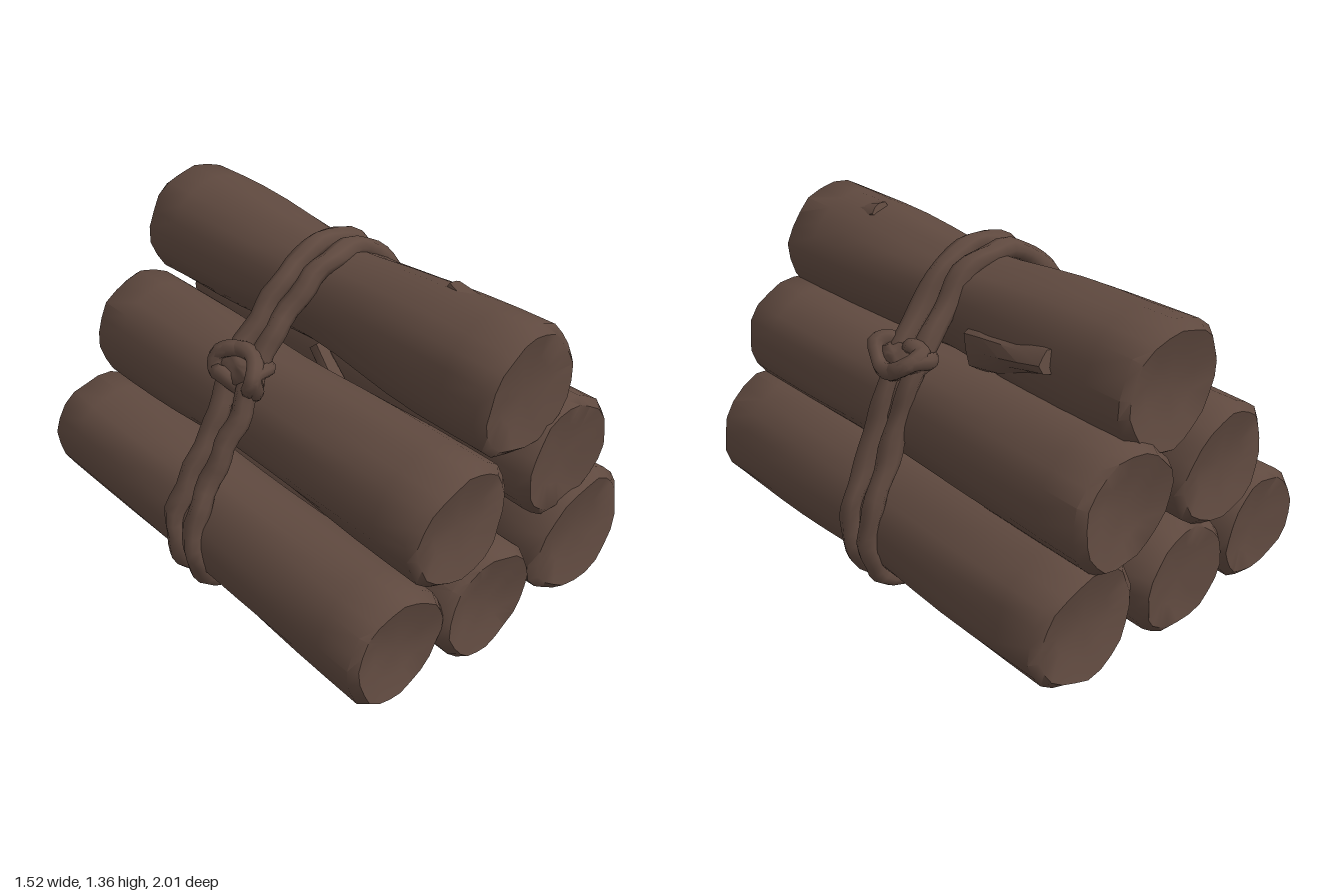
import * as THREE from 'three';
import { mergeVertices, toCreasedNormals } from 'three/addons/utils/BufferGeometryUtils.js';

const V = (x, y, z) => new THREE.Vector3(x, y, z);

// Weld a geometry, move its vertices by a rule, and shade it smoothly with creases
function reshape(geometry, rule, crease = 0.9) {
  geometry.deleteAttribute('uv');
  geometry.deleteAttribute('normal');
  const g = mergeVertices(geometry, 1e-4);
  const p = g.attributes.position;
  const v = V(0, 0, 0);
  for (let i = 0; i < p.count; i++) {
    v.fromBufferAttribute(p, i);
    rule(v);
    p.setXYZ(i, v.x, v.y, v.z);
  }
  return toCreasedNormals(g, crease);
}

// Uneven log lying along z, with chamfered rims, dished ends and a pinch under the rope
function logGeometry({ x, y, r, front, back, seed, pinch = 0.03, flare = 0 }) {
  const profile = [[0, -0.972], [0.5, -0.978], [0.88, -1], [1, -0.965]];
  for (let i = 1; i < 12; i++) profile.push([1, -0.965 + (1.93 * i) / 12]);
  profile.push([1, 0.965], [0.88, 1], [0.5, 0.978], [0, 0.972]);
  const lathe = new THREE.LatheGeometry(profile.map(([a, b]) => new THREE.Vector2(a, b)), 22);
  lathe.rotateX(Math.PI / 2);
  return reshape(lathe, (v) => {
    const a = Math.atan2(v.y, v.x);
    const t = v.z;
    const d = Math.hypot(v.x, v.y);
    const bark = 0.014 * Math.sin(3 * a + seed + 1.6 * t)
      + 0.012 * Math.sin(5 * a - seed * 2 + 2.5 * t)
      + 0.018 * Math.sin(8 * a + seed * 3 + 1.2 * Math.sin(4 * t + seed));
    const radius = r * (1 + bark) - pinch * Math.exp(-t * t * 6) + flare * t;
    const dent = Math.abs(t) > 0.968 ? 0.012 * d * Math.sin(2 * a + seed * 5 + t) : 0;
    v.x = x + Math.cos(a) * d * radius;
    v.y = y + Math.sin(a) * d * radius;
    v.z = (front + back) / 2 + (t * (front - back)) / 2 + dent;
  });
}

// Lumpy strand following a curve
function strandGeometry(points, radius, closed = false, segments = 24) {
  const curve = new THREE.CatmullRomCurve3(points, closed);
  return reshape(new THREE.TubeGeometry(curve, segments, radius, 8, closed), (v) => {
    const { x, y, z } = v;
    v.x += 0.005 * Math.sin(31 * y + 23 * z);
    v.y += 0.005 * Math.sin(29 * x - 27 * z);
    v.z += 0.006 * Math.sin(25 * (x + y));
  }, 1.6);
}

// Tapered, bent broken twig made from a cone frustum
function stubGeometry(from, to, r0, r1) {
  const axis = to.clone().sub(from);
  const g = new THREE.CylinderGeometry(r1, r0, axis.length(), 9, 4);
  const q = new THREE.Quaternion().setFromUnitVectors(V(0, 1, 0), axis.clone().normalize());
  const mid = from.clone().add(to).multiplyScalar(0.5);
  return reshape(g, (v) => {
    const k = 1 + 0.14 * Math.sin(3 * Math.atan2(v.z, v.x) + 9 * v.y);
    v.x *= k;
    v.z *= k;
    v.applyQuaternion(q).add(mid);
  }, 0.8);
}

export function createModel() {
  const model = new THREE.Group();
  model.name = 'logBundle';
  const bark = new THREE.MeshStandardMaterial({ color: 0x5f493f });
  bark.name = 'barkBrown';
  const add = (name, geometry, parent = model) => {
    const mesh = new THREE.Mesh(geometry, bark);
    mesh.name = name;
    parent.add(mesh);
    return mesh;
  };

  // Six stacked logs
  const logs = [
    ['bottomRightLog', { x: -0.485, y: 0.29, r: 0.23, front: 0.97, back: -0.98, seed: 1, pinch: 0.005 }],
    ['bottomMiddleLog', { x: -0.05, y: 0.25, r: 0.238, front: 0.99, back: -0.97, seed: 2.3, pinch: 0.015 }],
    ['bottomLeftLog', { x: 0.465, y: 0.31, r: 0.262, front: 0.99, back: -0.97, seed: 3.1, flare: 0.009, pinch: 0.02 }],
    ['middleRightLog', { x: -0.21, y: 0.685, r: 0.245, front: 0.97, back: -0.99, seed: 4.4, pinch: 0.02 }],
    ['middleLeftLog', { x: 0.32, y: 0.735, r: 0.242, front: 0.98, back: -1, seed: 5.2, pinch: 0.015 }],
    ['topLog', { x: 0.09, y: 1.1, r: 0.248, front: 0.96, back: -0.97, seed: 6.7, pinch: 0.045 }],
  ];
  for (const [name, spec] of logs) add(name, logGeometry(spec));

  // Broken branches and loose bark
  add('sideBranch', stubGeometry(V(0.25, 1.04, -0.2), V(0.325, 1.15, -0.62), 0.09, 0.045));
  add('topBranch', stubGeometry(V(0.11, 1.23, 0.76), V(0.13, 1.325, 0.54), 0.09, 0.04));
  add('innerBranch', stubGeometry(V(0.05, 0.62, 0.1), V(0.06, 0.84, -0.1), 0.045, 0.035));
  add('lowerInnerBranch', stubGeometry(V(0.24, 0.3, 0.1), V(0.23, 0.53, 0.0), 0.05, 0.04));

  // One rope wound twice round the stack, crossing itself underneath
  const wrap = [
    [-0.33, 0.07], [-0.5, 0.065], [-0.64, 0.12], [-0.705, 0.24], [-0.7, 0.39], [-0.6, 0.58], [-0.47, 0.8],
    [-0.39, 0.95], [-0.24, 1.13], [-0.09, 1.27], [0.05, 1.315], [0.2, 1.28], [0.31, 1.15],
    [0.46, 0.97], [0.54, 0.78], [0.61, 0.6], [0.7, 0.42], [0.71, 0.25], [0.64, 0.11],
    [0.5, 0.07], [0.3, 0.08],
  ];
  const path = [];
  for (const side of [1, -1]) {
    wrap.forEach(([x, y], i) => path.push(V(x, y, side * (0.056 + 0.008 * Math.sin(i * 2.1 + side)))));
    path.push(V(0, 0.06 + side * 0.012, 0));
  }
  add('rope', strandGeometry(path, 0.043, true, 180));

  // Knots where the rope is tied on each side
  for (const [name, x, y, tilt] of [['rightKnot', -0.39, 0.95, 0.8], ['leftKnot', 0.465, 0.975, -0.85]]) {
    const knot = new THREE.Group();
    knot.name = name;
    knot.position.set(x, y, 0);
    knot.rotation.z = tilt;
    model.add(knot);
    add('knotCore', reshape(new THREE.SphereGeometry(1, 14, 10), (v) => {
      const k = 1 + 0.09 * Math.sin(5 * v.x + 4 * v.z) + 0.07 * Math.sin(6 * v.y - 5 * v.z);
      v.set(v.x * 0.065 * k, v.y * 0.06 * k, v.z * 0.12 * k);
    }, 1.6), knot);
    // Strands wrapped over the core
    for (const s of [1, -1]) {
      add('knotStrand', strandGeometry([
        V(-0.05, -0.03 * s, -0.09), V(0.0, 0.06, -0.11), V(0.055, 0.05, -0.03),
        V(0.055, 0.045 * s, 0.05), V(0, 0.06, 0.11), V(-0.05, 0.02 * s, 0.1),
        V(-0.06, -0.05, 0.03), V(-0.06, -0.05 * s, -0.04),
      ], 0.032, true, 32), knot);
    }
  }
  return model;
}
